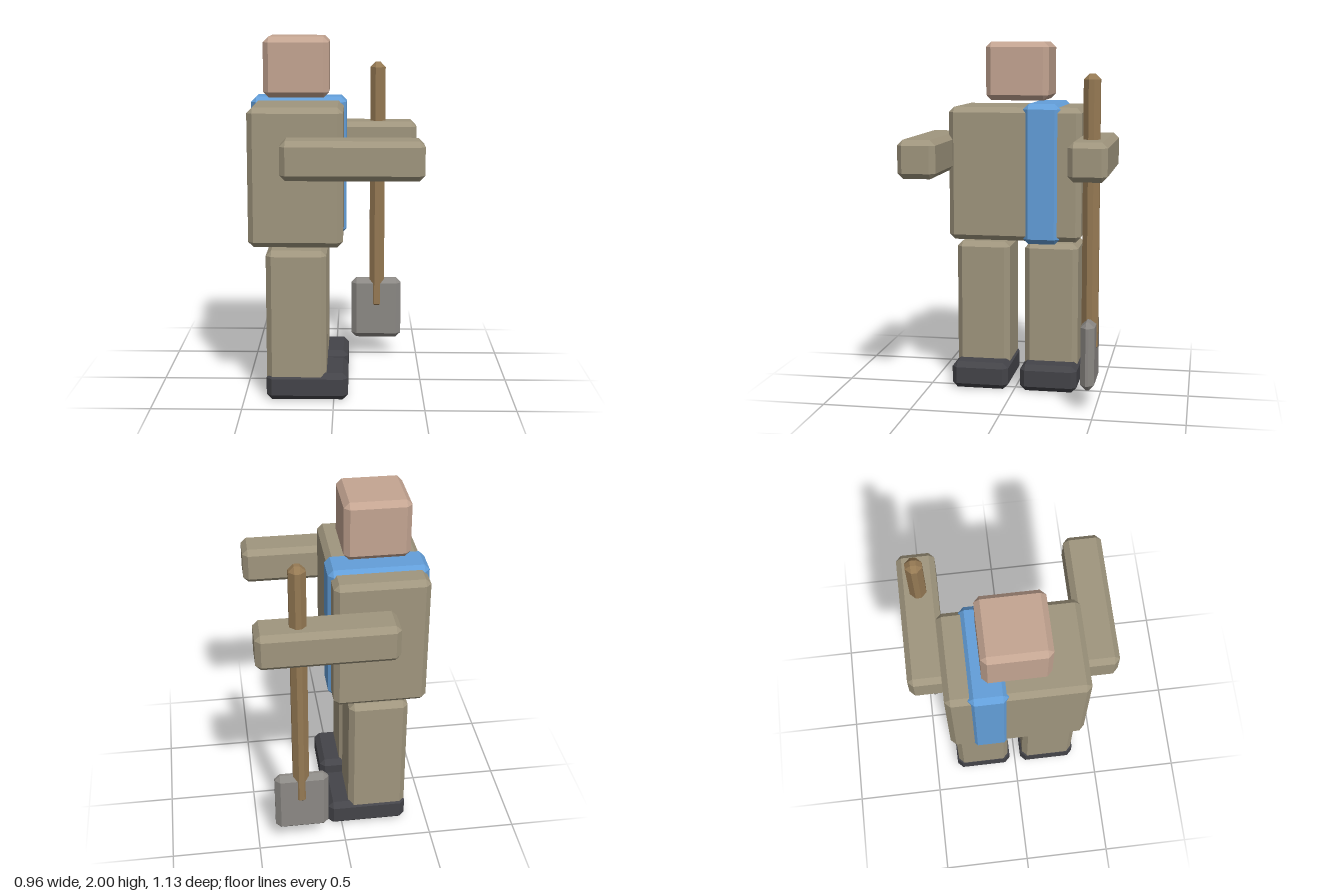
import * as THREE from 'three';
import { ConvexGeometry } from 'three/addons/geometries/ConvexGeometry.js';

const mat = (color) => new THREE.MeshStandardMaterial({ color, flatShading: true });
const BEVEL = 0.03;

// Box between two corners, with every edge cut by a single flat bevel
function bevelBox(name, material, [x0, y0, z0], [x1, y1, z1]) {
  const half = [(x1 - x0) / 2, (y1 - y0) / 2, (z1 - z0) / 2];
  const points = [];
  for (const sx of [-1, 1]) for (const sy of [-1, 1]) for (const sz of [-1, 1]) {
    for (let axis = 0; axis < 3; axis++) {
      // each corner becomes three points, one on each adjoining face
      const [x, y, z] = half.map((h, i) => (i === axis ? h : h - BEVEL));
      points.push(new THREE.Vector3(sx * x, sy * y, sz * z));
    }
  }
  const mesh = new THREE.Mesh(new ConvexGeometry(points), material);
  mesh.name = name;
  mesh.position.set((x0 + x1) / 2, (y0 + y1) / 2, (z0 + z1) / 2);
  return mesh;
}

export function createModel() {
  const group = new THREE.Group();
  group.name = 'blockWorker';
  const cloth = mat(0xa0967e);
  const skin = mat(0xc4a592);
  const blue = mat(0x639fda);
  const leather = mat(0x444449);
  const wood = mat(0x967a54);
  const metal = mat(0x8c8985);

  // Head, torso and the sash wrapped around it
  group.add(
    bevelBox('head', skin, [-0.39, 1.67, -0.18], [-0.03, 2.0, 0.18]),
    bevelBox('torso', cloth, [-0.465, 0.875, -0.38], [0.05, 1.635, 0.38]),
    bevelBox('sash', blue, [-0.48, 0.86, -0.26], [0.065, 1.655, -0.05])
  );

  // Limbs, one set on each side
  for (const side of [-1, 1]) {
    const tag = side < 0 ? 'Back' : 'Front';
    const arm = side * 0.46, leg = side * 0.2;
    group.add(
      bevelBox('arm' + tag, cloth, [-0.28, 1.27, arm - 0.105], [0.48, 1.48, arm + 0.105]),
      bevelBox('leg' + tag, cloth, [-0.373, 0.08, leg - 0.155], [-0.04, 0.85, leg + 0.155]),
      bevelBox('shoe' + tag, leather, [-0.375, 0, leg - 0.165], [0.08, 0.155, leg + 0.165])
    );
  }

  // Shovel held by one arm
  const shovel = new THREE.Group();
  shovel.name = 'shovel';
  shovel.add(
    bevelBox('shovelHandle', wood, [0.205, 0.31, -0.505], [0.295, 1.83, -0.415]),
    bevelBox('shovelBlade', metal, [0.095, 0.12, -0.498], [0.4, 0.5, -0.422])
  );
  group.add(shovel);

  return group;
}
